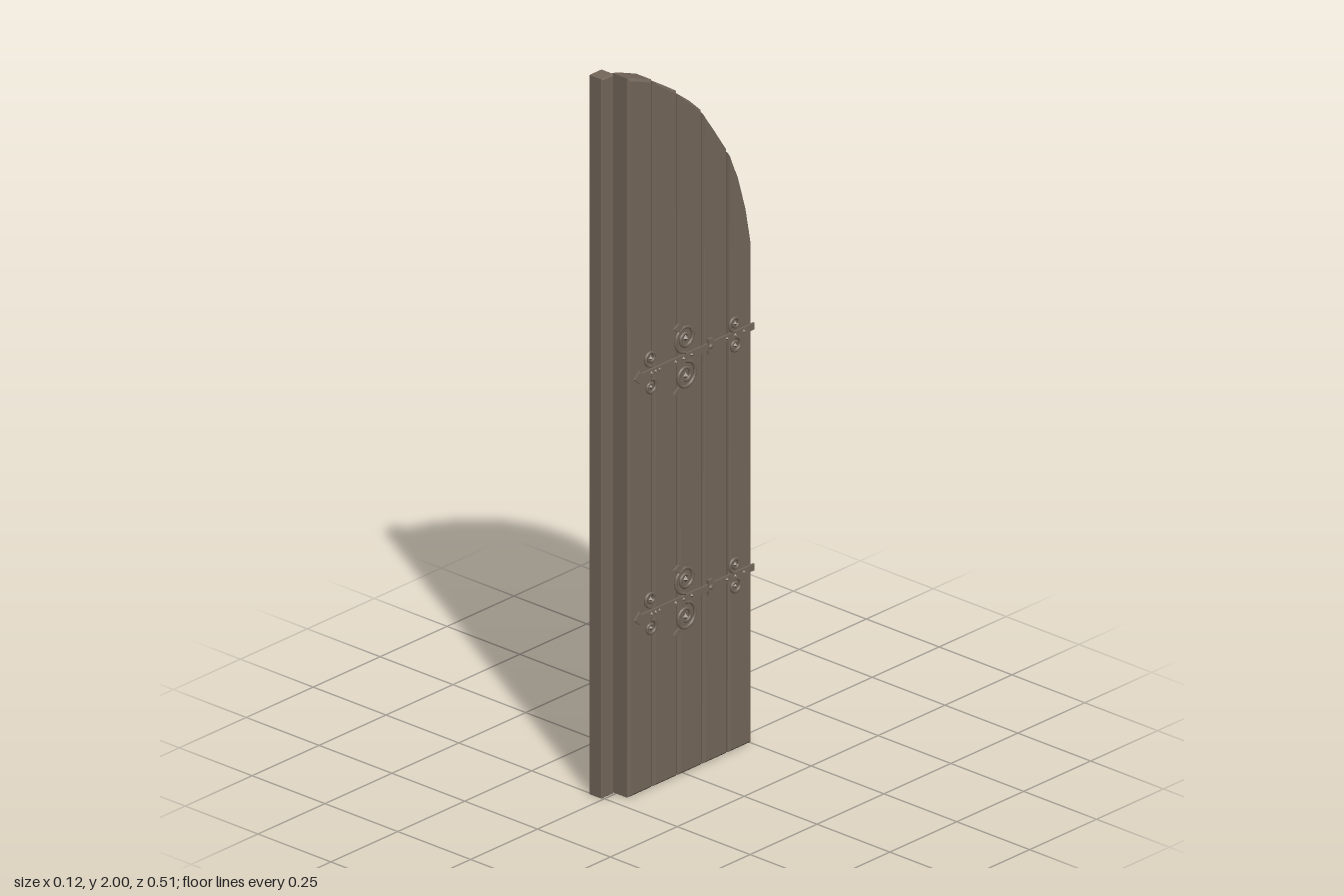
import * as THREE from 'three';

const wood = new THREE.MeshStandardMaterial({ color: 0x73665a });
wood.name = 'weathered brown';

function add(parent, name, geo, x = 0, y = 0, z = 0) {
  const m = new THREE.Mesh(geo, wood);
  m.name = name;
  m.position.set(x, y, z);
  parent.add(m);
  return m;
}

// Bevelled board: outline given as [z, y], thickness from x0 to x1
function board(points, x0, x1, bevel) {
  const shape = new THREE.Shape(points.map(([z, y]) => new THREE.Vector2(-z, y)));
  const g = new THREE.ExtrudeGeometry(shape, {
    depth: x1 - x0 - 2 * bevel, bevelEnabled: bevel > 0, bevelSize: bevel,
    bevelThickness: bevel, bevelOffset: -bevel, bevelSegments: 1,
  });
  return g.rotateY(Math.PI / 2).translate(x0 + bevel, 0, 0);
}

// Flattened spiral bar in the z-y plane
function scroll(r0, r1, start, turns, bar) {
  const pts = [];
  const n = Math.ceil(turns * 10);
  for (let i = 0; i <= n; i++) {
    const t = i / n, a = start + t * turns * Math.PI * 2, r = r0 + (r1 - r0) * t;
    pts.push(new THREE.Vector3(0, Math.sin(a) * r, Math.cos(a) * r));
  }
  const g = new THREE.TubeGeometry(new THREE.CatmullRomCurve3(pts), n * 2, bar, 6);
  return g.scale(0.004 / bar, 1, 1);
}

// Strap hinge with scrollwork, lying flat around x = 0
function createHinge() {
  const hinge = new THREE.Group();
  hinge.name = 'strapHinge';
  add(hinge, 'strap', new THREE.BoxGeometry(0.006, 0.018, 0.43), 0, 0, -0.04);
  add(hinge, 'crossBand', new THREE.BoxGeometry(0.011, 0.042, 0.016), 0, 0, -0.09);
  add(hinge, 'strapTip', board([[0.165, 0], [0.172, -0.018], [0.192, 0], [0.172, 0.018]], -0.003, 0.003, 0));

  for (const s of [1, -1]) {
    // Large central scrolls
    add(hinge, 'largeScroll', scroll(0.04, 0.012, -s * Math.PI / 2, s * 1.6 * s, 0.005), 0, s * 0.052, 0.0)
      .scale.set(1, 1, 1);
    add(hinge, 'scrollBoss', new THREE.OctahedronGeometry(0.009), 0, s * 0.052, 0.0);
    add(hinge, 'scrollLeaf', board([[0.025, s * 0.075], [0.045, s * 0.09], [0.026, s * 0.1], [0.012, s * 0.088]]
      .slice()[s > 0 ? 'slice' : 'reverse'](), -0.003, 0.003, 0));
    // Small curls at both ends
    for (const [z, h] of [[0.13, 0.04], [-0.185, 0.03]]) {
      add(hinge, 'endCurl', scroll(0.022, 0.007, -s * Math.PI / 2, 1.25, 0.0045), 0, s * h, z);
      add(hinge, 'curlBoss', new THREE.OctahedronGeometry(0.007), 0, s * h, z);
    }
  }
  // Faceted rivets along the strap
  for (const z of [-0.215, -0.183, -0.152, -0.02, 0.01, 0.04, 0.1, 0.115, 0.13]) {
    add(hinge, 'rivet', new THREE.OctahedronGeometry(0.008), 0, 0, z);
  }
  add(hinge, 'bandRivet', new THREE.SphereGeometry(0.01, 8, 6), 0, 0, -0.09);
  return hinge;
}

export function createModel() {
  const door = new THREE.Group();
  door.name = 'archedDoorLeaf';

  // Planks with tops following the arch: upper outline as [z, y]
  const tops = [
    [[0.207, 2.0], [0.18, 1.992], [0.118, 1.968]],
    [[0.113, 1.962], [0.07, 1.935], [0.025, 1.905]],
    [[0.02, 1.895], [-0.025, 1.86], [-0.068, 1.82]],
    [[-0.073, 1.81], [-0.115, 1.75], [-0.162, 1.68]],
    [[-0.168, 1.668], [-0.205, 1.59], [-0.235, 1.49], [-0.253, 1.395]],
  ];
  tops.forEach((top) => {
    const first = top[0][0], last = top[top.length - 1][0];
    add(door, 'plank', board([...top, [last, 0], [first, 0]].reverse(), -0.02, 0.045, 0.007));
  });

  // Closing strip with pyramid studs on its outer face
  add(door, 'closingStrip', board([[0.21, 0], [0.21, 2], [0.255, 2], [0.255, 0]], -0.05, -0.004, 0.003));
  for (let i = 0; i < 22; i++) {
    const stud = new THREE.ConeGeometry(0.029, 0.012, 4).toNonIndexed();
    stud.rotateY(Math.PI / 4).rotateZ(Math.PI / 2);
    stud.computeVertexNormals();
    add(door, 'stripStud', stud, -0.054, 0.046 + i * 0.09, 0.2325);
  }

  // Two hinges on each face
  for (const x of [-0.0235, 0.0485]) {
    for (const y of [0.49, 1.16]) {
      const hinge = createHinge();
      hinge.position.set(x, y, 0);
      door.add(hinge);
    }
  }
  return door;
}
